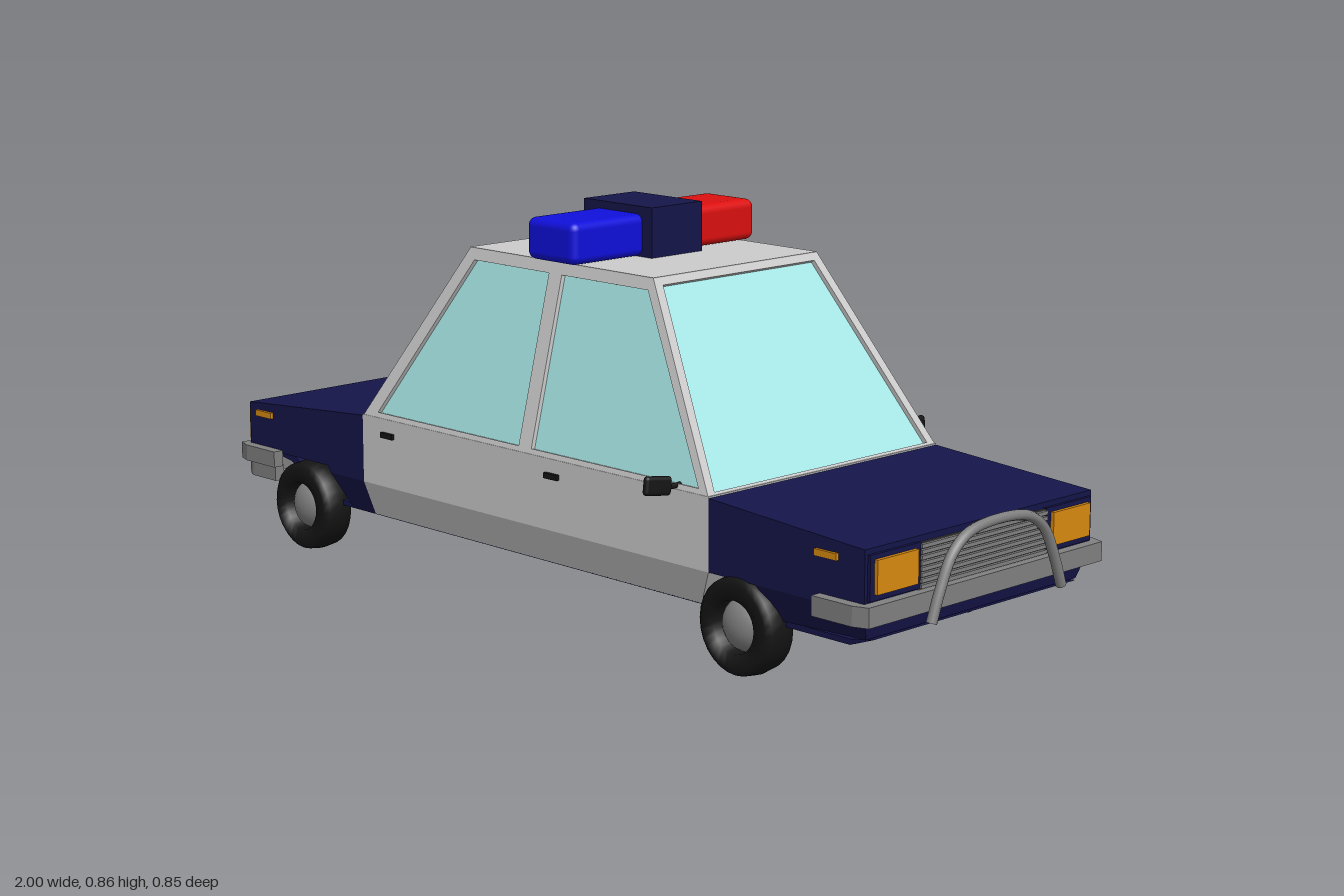
import * as THREE from 'three';
import { RoundedBoxGeometry } from 'three/addons/geometries/RoundedBoxGeometry.js';

const mat = (color, side = THREE.FrontSide) => new THREE.MeshStandardMaterial({ color, side });
const white = mat(0xcccccc), navy = mat(0x15154a), glass = mat(0xa8e8e8, THREE.DoubleSide);
const steel = mat(0x808080), dark = mat(0x4a4a4a), black = mat(0x141414);
const orange = mat(0xd98a10), blue = mat(0x1010dd), red = mat(0xdd1010);

export function createModel() {
  const car = new THREE.Group();
  car.name = 'patrolCar';

  const add = (name, geometry, material, x = 0, y = 0, z = 0, parent = car) => {
    const mesh = new THREE.Mesh(geometry, material);
    mesh.name = name;
    mesh.position.set(x, y, z);
    parent.add(mesh);
    return mesh;
  };
  const box = (name, m, x0, x1, y0, y1, z0, z1) => add(name,
    new THREE.BoxGeometry(x1 - x0, y1 - y0, z1 - z0), m, (x0 + x1) / 2, (y0 + y1) / 2, (z0 + z1) / 2);
  const outline = (pts, Type = THREE.Shape) => new Type(pts.map(p => new THREE.Vector2(...p)));

  // Side profile extruded across the car; half width depends on height
  const halfWidth = y => y >= 0.2 ? 0.346 : 0.346 - (0.2 - y) * 0.4;
  const slab = (name, m, pts, width = halfWidth) => {
    const g = new THREE.ExtrudeGeometry(outline(pts), { depth: 1, bevelEnabled: false });
    const p = g.attributes.position;
    for (let i = 0; i < p.count; i++) p.setZ(i, (p.getZ(i) - 0.5) * 2 * width(p.getY(i)));
    g.computeVertexNormals();
    return add(name, g, m);
  };

  // Lower body
  slab('doors', white, [[-0.56, 0.2], [0.53, 0.2], [0.53, 0.355], [-0.56, 0.355]]);
  slab('sills', white, [[-0.56, 0.12], [0.48, 0.12], [0.53, 0.2], [-0.56, 0.2]]);
  slab('hood', navy, [[0.53, 0.2], [0.945, 0.2], [0.945, 0.325], [0.53, 0.352]]);
  slab('frontSkirt', navy, [[0.7, 0.13], [0.93, 0.14], [0.945, 0.2], [0.66, 0.2]]);
  slab('trunk', navy, [[-0.98, 0.215], [-0.69, 0.215], [-0.68, 0.2], [-0.56, 0.2], [-0.56, 0.352], [-0.98, 0.32]]);
  slab('rearQuarter', navy, [[-0.64, 0.12], [-0.56, 0.12], [-0.56, 0.2], [-0.68, 0.2]]);
  slab('floor', navy, [[-0.97, 0.205], [-0.87, 0.19], [-0.72, 0.118], [0.88, 0.118], [0.94, 0.14],
    [0.88, 0.13], [-0.72, 0.13], [-0.87, 0.21], [-0.97, 0.215]], () => 0.312);

  // Sloped greenhouse panels: frame with window holes and recessed panes
  const panel = (name, origin, u, v, frame, windows) => {
    const g = new THREE.Group();
    g.name = name;
    const U = new THREE.Vector3(...u).normalize(), V = new THREE.Vector3(...v);
    const len = V.length();
    V.normalize();
    g.applyMatrix4(new THREE.Matrix4().makeBasis(U, V, U.clone().cross(V)).setPosition(...origin));
    const flat = pts => pts.map(([a, t]) => [a, t * len]);
    const shape = outline(flat(frame));
    shape.holes = windows.map(w => outline(flat(w), THREE.Path));
    add(name + 'Frame', new THREE.ExtrudeGeometry(shape, { depth: 0.014, bevelEnabled: false }), white, 0, 0, -0.014, g);
    windows.forEach(w => add(name + 'Glass', new THREE.ShapeGeometry(outline(flat(w))), glass, 0, 0, -0.01, g));
    car.add(g);
  };
  const sideFrame = [[-0.56, 0], [0.53, 0], [0.27, 1], [-0.3, 1]];
  const sideWindows = [[[-0.51, 0.04], [-0.04, 0.04], [-0.04, 0.94], [-0.28, 0.94]],
    [[0, 0.04], [0.497, 0.04], [0.26, 0.94], [0, 0.94]]];
  for (const s of [1, -1]) {
    const flip = pts => pts.map(([x, t]) => [x * s, t]);
    panel(s > 0 ? 'leftSide' : 'rightSide', [0, 0.35, s * 0.346], [s, 0, 0], [0, 0.4, -s * 0.1],
      flip(sideFrame), sideWindows.map(flip));
  }
  const endFrame = [[-0.346, 0], [0.346, 0], [0.246, 1], [-0.246, 1]];
  const endWindow = [[[-0.323, 0.025], [0.323, 0.025], [0.227, 0.965], [-0.227, 0.965]]];
  panel('windscreen', [0.53, 0.35, 0], [0, 0, -1], [-0.26, 0.4, 0], endFrame, endWindow);
  panel('rearWindow', [-0.56, 0.35, 0], [0, 0, 1], [0.26, 0.4, 0], endFrame, endWindow);
  box('roof', white, -0.3, 0.27, 0.74, 0.752, -0.246, 0.246);

  // Roof light bar
  add('blueLight', new RoundedBoxGeometry(0.15, 0.09, 0.26, 3, 0.018), blue, -0.015, 0.798, 0.143);
  add('redLight', new RoundedBoxGeometry(0.15, 0.09, 0.26, 3, 0.018), red, -0.015, 0.798, -0.143);
  box('lightBarCentre', navy, -0.12, 0.09, 0.75, 0.86, -0.075, 0.075);

  // Wraparound bumpers, drawn in plan
  const bumper = (name, end, inner, back, y0, y1, w, m) => {
    const g = new THREE.ExtrudeGeometry(outline([[back, -w], [inner, -w], [end, -w + 0.012], [end, w - 0.012],
      [inner, w], [back, w], [back, w - 0.025], [inner, w - 0.03], [inner, 0.03 - w], [back, 0.025 - w]]),
    { depth: y1 - y0, bevelEnabled: false });
    g.rotateX(-Math.PI / 2);
    add(name, g, m, 0, y0, 0);
  };
  bumper('frontBumper', 0.968, 0.935, 0.83, 0.177, 0.218, 0.37, steel);
  bumper('rearBumper', -1.0, -0.965, -0.86, 0.185, 0.222, 0.37, steel);
  bumper('rearBumperLower', -0.98, -0.955, -0.87, 0.15, 0.185, 0.36, steel);

  // Grille with horizontal slats
  box('grille', dark, 0.93, 0.949, 0.215, 0.312, -0.195, 0.195);
  for (let i = 0; i < 8; i++) {
    const y = 0.221 + i * 0.0115;
    box('grilleSlat', steel, 0.94, 0.956, y, y + 0.008, -0.193, 0.193);
  }

  // Bull bar
  const bar = [[0.2, 0.16], [0.175, 0.225], [0.14, 0.29], [0.085, 0.325]];
  const barPath = [...bar, ...bar.slice().reverse().map(([z, y]) => [-z, y])];
  add('bullBar', new THREE.TubeGeometry(new THREE.CatmullRomCurve3(
    barPath.map(([z, y]) => new THREE.Vector3(0.988, y, z))), 40, 0.011, 8), steel);

  // Wheel profile: tyre turned around its axle
  const tyre = new THREE.LatheGeometry([[0.055, -0.036], [0.088, -0.04], [0.1, -0.03], [0.104, 0],
    [0.1, 0.03], [0.088, 0.04], [0.055, 0.036], [0.055, -0.036]].map(p => new THREE.Vector2(...p)), 28)
    .rotateX(Math.PI / 2);
  const hub = new THREE.SphereGeometry(0.056, 20, 12).scale(1, 1, 0.68);
  const axle = new THREE.LatheGeometry([[0.009, -0.3], [0.009, -0.14], [0.02, -0.07], [0.02, 0.07],
    [0.009, 0.14], [0.009, 0.3]].map(p => new THREE.Vector2(...p)), 16).rotateX(Math.PI / 2);

  for (const x of [-0.78, 0.61]) {
    add('axle', axle, steel, x, 0.102, 0);
    for (const s of [1, -1]) {
      add('tyre', tyre, black, x, 0.105, s * 0.32);
      add('wheelHub', hub, steel, x, 0.105, s * 0.32);
    }
  }

  // Lamps, handles and mirrors on both sides
  const sided = (s, name, m, x0, x1, y0, y1, z0, z1) =>
    box(name, m, x0, x1, y0, y1, Math.min(s * z0, s * z1), Math.max(s * z0, s * z1));
  for (const s of [1, -1]) {
    sided(s, 'headlightSurround', navy, 0.93, 0.952, 0.222, 0.314, 0.192, 0.338);
    sided(s, 'headlight', orange, 0.93, 0.96, 0.235, 0.304, 0.207, 0.326);
    sided(s, 'rearLamp', orange, -0.995, -0.97, 0.23, 0.303, 0.207, 0.336);
    sided(s, 'frontSideLamp', orange, 0.82, 0.878, 0.292, 0.306, 0.34, 0.353);
    sided(s, 'rearSideLamp', orange, -0.95, -0.893, 0.292, 0.306, 0.34, 0.353);
    for (const x of [-0.47, 0.07]) sided(s, 'doorHandle', black, x - 0.02, x + 0.02, 0.313, 0.325, 0.34, 0.354);
    const arm = add('mirrorArm', new THREE.CylinderGeometry(0.006, 0.006, 0.05, 8), black, 0.435, 0.362, s * 0.355);
    arm.rotation.x = Math.PI / 2;
    const head = add('mirror', new RoundedBoxGeometry(0.016, 0.04, 0.066, 2, 0.008), black, 0.431, 0.368, s * 0.392);
    head.rotation.set(-s * 0.12, s * -0.15, 0);
  }
  return car;
}
